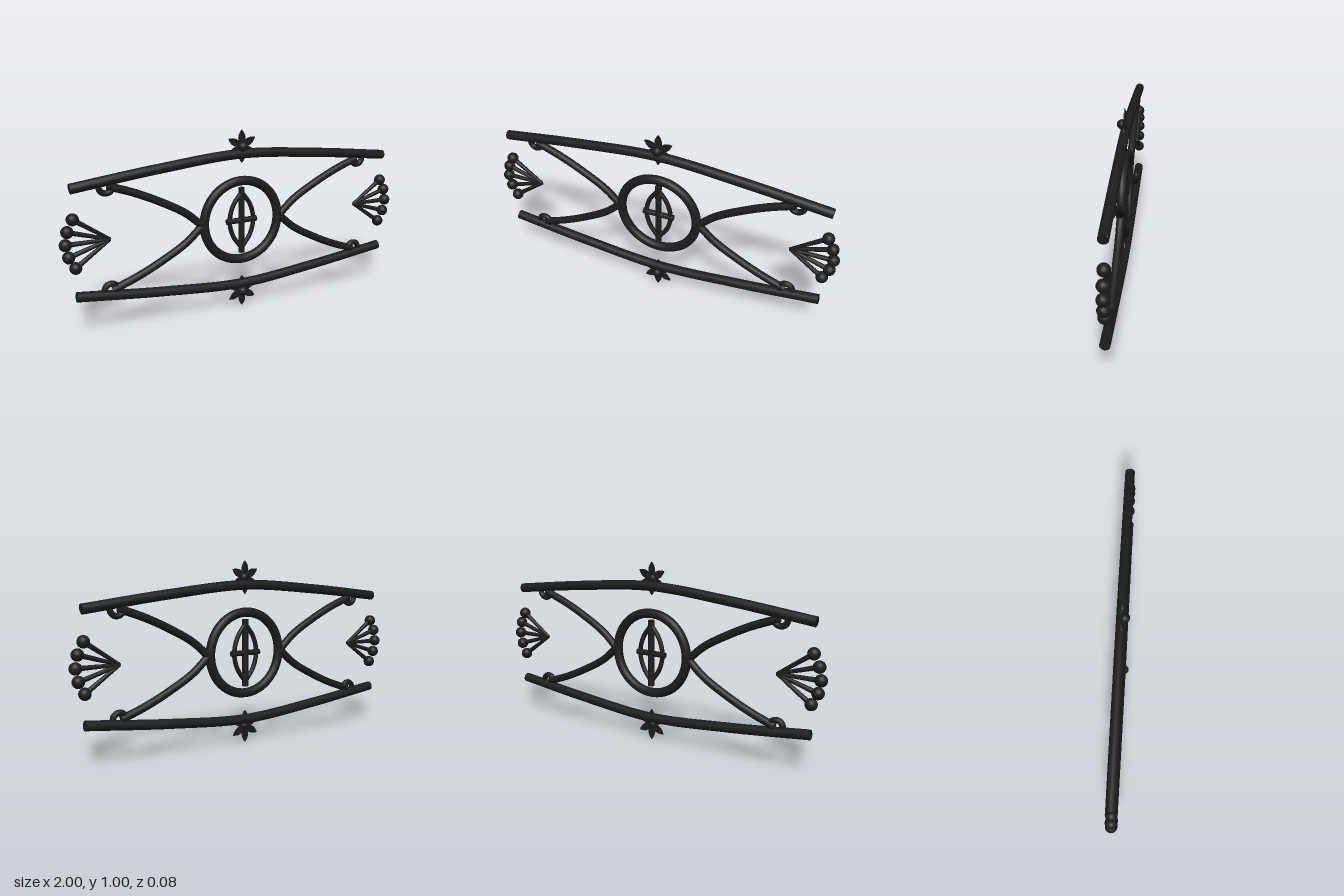
import * as THREE from 'three';

const MID = 0.503; // height of the mirror line
const Z = -0.004;  // plane of the ironwork

export function createModel() {
  const model = new THREE.Group();
  model.name = 'ironworkPanel';
  const iron = new THREE.MeshStandardMaterial({ color: 0x1c1c1c });

  const add = (name, geometry, x = 0, y = 0, z = Z) => {
    const mesh = new THREE.Mesh(geometry, iron);
    mesh.name = name;
    mesh.position.set(x, y, z);
    model.add(mesh);
    return mesh;
  };

  // Straight rod between two points
  const rod = (name, a, b, r0, r1 = r0) => {
    const from = new THREE.Vector3(a[0], a[1], Z);
    const to = new THREE.Vector3(b[0], b[1], Z);
    const dir = to.clone().sub(from);
    const mesh = add(name, new THREE.CylinderGeometry(r1, r0, dir.length(), 16));
    mesh.position.copy(from).add(to).multiplyScalar(0.5);
    mesh.quaternion.setFromUnitVectors(new THREE.Vector3(0, 1, 0), dir.normalize());
  };

  // Curved rod through points, with closed ends
  const bentRod = (name, points, radius) => {
    const curve = new THREE.CatmullRomCurve3(points.map(([x, y]) => new THREE.Vector3(x, y, 0)));
    add(name, new THREE.TubeGeometry(curve, 48, radius, 16));
    for (const t of [0, 1]) {
      const p = curve.getPointAt(t);
      const cap = add(name + 'Cap', new THREE.CircleGeometry(radius, 16), p.x, p.y);
      const out = curve.getTangentAt(t).multiplyScalar(t ? 1 : -1);
      cap.quaternion.setFromUnitVectors(new THREE.Vector3(0, 0, 1), out);
    }
  };

  // Leaf-shaped petal pointing up from the flower's centre
  const petalShape = new THREE.Shape();
  petalShape.moveTo(0, 0);
  petalShape.quadraticCurveTo(0.04, 0.045, 0, 0.09);
  petalShape.quadraticCurveTo(-0.04, 0.045, 0, 0);
  const petalGeometry = new THREE.ExtrudeGeometry(petalShape, { depth: 0.006, bevelEnabled: false, curveSegments: 8 });

  for (const v of [1, -1]) {
    // Bowed rails
    bentRod('rail', [[-0.93, 0.282], [-0.465, 0.336], [0, 0.371], [0.465, 0.336], [0.93, 0.282]]
      .map(([x, y]) => [x, MID + v * y]), 0.0265);

    // Flowers on the rails
    const flowerY = MID + v * 0.412;
    add('flowerCentre', new THREE.SphereGeometry(0.027, 20, 14), 0, flowerY, 0.013);
    for (let i = 0; i < 6; i++) {
      add('petal', petalGeometry, 0, flowerY, -0.003).rotation.z = i * Math.PI / 3;
    }

    for (const s of [1, -1]) {
      // Curved braces from ring to rail, ending in small scroll rings
      bentRod('brace', [[0.235, 0], [0.33, 0.083], [0.47, 0.163], [0.6, 0.224], [0.74, 0.276]]
        .map(([x, y]) => [s * x, MID + v * y]), 0.021);
      add('scroll', new THREE.TorusGeometry(0.036, 0.016, 12, 32), s * 0.75, MID + v * 0.276);
    }
  }

  // Central ring with cross and lens-shaped arcs
  add('ring', new THREE.TorusGeometry(0.223, 0.0255, 16, 64), 0, MID);
  rod('uprightBar', [0, MID - 0.185], [0, MID + 0.185], 0.0175);
  rod('crossBar', [-0.09, MID], [0.09, MID], 0.0155);
  for (const s of [1, -1]) {
    bentRod('lensArc', [[0, -0.16], [0.052, -0.085], [0.072, 0], [0.052, 0.085], [0, 0.16]]
      .map(([x, y]) => [s * x, MID + y]), 0.0125);

    // Fans of ball-tipped rods at the sides
    for (const [x, y] of [[0.925, 0.127], [0.956, 0.066], [0.968, 0], [0.956, -0.066], [0.925, -0.127]]) {
      rod('fanRod', [s * 0.742, MID], [s * x, MID + y], 0.009, 0.0135);
      add('fanBall', new THREE.SphereGeometry(0.032, 20, 14), s * x, MID + y);
    }
  }
  return model;
}
